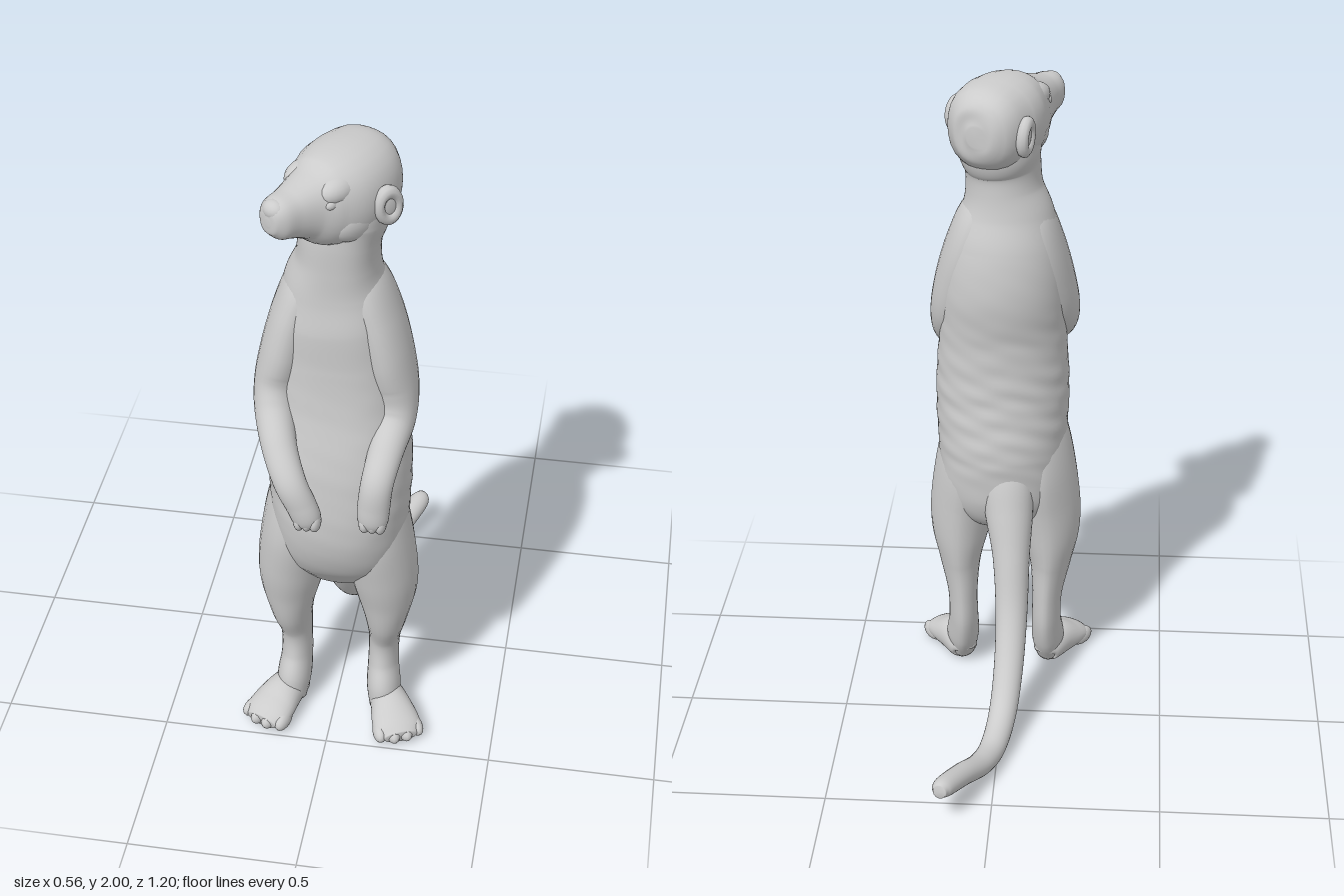
import * as THREE from 'three';

const material = new THREE.MeshStandardMaterial({ color: 0xcccccc, roughness: 0.9 });

function add(parent, name, geometry) {
  const mesh = new THREE.Mesh(geometry, material);
  mesh.name = name;
  parent.add(mesh);
  return mesh;
}

// Closed smooth skin through rings [x, y, z, half width, half depth]; bump(angle, point) scales a ring locally.
function loft(rings, { steps = 8, sides = 28, bump = () => 1 } = {}) {
  const path = new THREE.CatmullRomCurve3(rings.map(r => new THREE.Vector3(r[0], r[1], r[2])), false, 'catmullrom', 0.5);
  const size = new THREE.CatmullRomCurve3(rings.map(r => new THREE.Vector3(r[3], r[4], 0)), false, 'catmullrom', 0.5);
  const n = (rings.length - 1) * steps;
  const pos = [], index = [];
  const u = new THREE.Vector3(), v = new THREE.Vector3();
  for (let i = 0; i <= n; i++) {
    const p = path.getPoint(i / n), t = path.getTangent(i / n), s = size.getPoint(i / n);
    u.set(1, 0, 0).addScaledVector(t, -t.x).normalize();
    v.crossVectors(t, u);
    for (let j = 0; j < sides; j++) {
      const a = (j / sides) * Math.PI * 2, k = bump(a, p);
      const q = p.clone().addScaledVector(u, Math.cos(a) * s.x * k).addScaledVector(v, Math.sin(a) * s.y * k);
      pos.push(q.x, q.y, q.z);
    }
  }
  for (let i = 0; i < n; i++) for (let j = 0; j < sides; j++) {
    const a = i * sides + j, b = i * sides + (j + 1) % sides;
    index.push(a, b, a + sides, b, b + sides, a + sides);
  }
  const first = pos.length / 3, last = n * sides;
  pos.push(...path.getPoint(0).toArray(), ...path.getPoint(1).toArray());
  for (let j = 0; j < sides; j++) {
    const k = (j + 1) % sides;
    index.push(first, k, j, first + 1, last + j, last + k);
  }
  const geometry = new THREE.BufferGeometry();
  geometry.setAttribute('position', new THREE.Float32BufferAttribute(pos, 3));
  geometry.setIndex(index);
  geometry.computeVertexNormals();
  return geometry;
}

function ball(parent, name, [x, y, z], [sx, sy, sz]) {
  const mesh = add(parent, name, new THREE.SphereGeometry(1, 18, 12));
  mesh.position.set(x, y, z);
  mesh.scale.set(sx, sy, sz);
  return mesh;
}

// Irregular fur folds, strongest across the lower back, and a slightly squared chest
function furFolds(a, p) {
  const band = Math.exp(-(((p.y - 0.98) / 0.28) ** 2));
  const wave = Math.sin(p.y * 62 + 2.2 * Math.sin(a * 3) + Math.cos(a * 5)) + 0.7 * Math.sin(p.y * 97 + a * 6);
  const chest = 0.06 * Math.max(0, -Math.sin(a)) * Math.sin(2 * a) ** 2;
  return 1 + chest + 0.008 * band * (0.6 + 0.4 * Math.sin(a)) * wave;
}

function buildHead() {
  const head = new THREE.Group();
  head.name = 'head';
  // The squared section gives the flat crown and broad brow
  add(head, 'skull', loft([
    [-0.048, 1.865, -0.15, 0.03, 0.03], [-0.046, 1.865, -0.136, 0.08, 0.085], [-0.036, 1.866, -0.09, 0.115, 0.12],
    [-0.015, 1.866, -0.02, 0.135, 0.132], [-0.003, 1.866, 0.06, 0.132, 0.132], [0, 1.87, 0.13, 0.106, 0.118],
    [0, 1.878, 0.185, 0.079, 0.086], [0, 1.884, 0.24, 0.061, 0.066], [0, 1.888, 0.285, 0.05, 0.056],
    [0, 1.888, 0.308, 0.03, 0.036], [0, 1.888, 0.313, 0.008, 0.01]],
    { bump: a => 1 + 0.05 * Math.sin(2 * a) ** 2 }));
  ball(head, 'nose', [0, 1.916, 0.286], [0.035, 0.028, 0.028]);
  for (const side of [-1, 1]) {
    ball(head, 'brow', [side * 0.058, 1.925, 0.11], [0.042, 0.04, 0.07]);
    ball(head, 'eye', [side * 0.072, 1.903, 0.157], [0.018, 0.016, 0.022]);
    ball(head, 'cheek', [side * 0.07, 1.825, 0.065], [0.052, 0.066, 0.09]);
    // Small oval ear lying against the head
    const ear = new THREE.Group();
    ear.name = 'ear';
    ear.position.set(side * 0.143 - 0.006, 1.86, -0.02 + side * 0.025);
    ear.rotation.set(0.15, side * 1.3, 0);
    const rim = add(ear, 'earRim', new THREE.TorusGeometry(0.034, 0.017, 10, 24));
    rim.scale.set(0.85, 1.2, 1.1);
    ball(ear, 'earBowl', [0, 0, -0.002], [0.033, 0.046, 0.015]);
    head.add(ear);
  }
  head.position.set(0.045, 0, 0.292);
  head.rotation.y = -0.58;
  return head;
}

function buildLeg(side) {
  const leg = new THREE.Group();
  leg.name = side > 0 ? 'leftLeg' : 'rightLeg';
  const c = side > 0 ? 0.015 : 0.005; // slight sideways stance
  const at = (x, ...rest) => [c + side * x, ...rest];
  // Haunch rounded off at its outer back
  const haunch = a => 1 - 0.2 * Math.max(0, -Math.sin(a)) * Math.max(0, side * Math.cos(a));
  add(leg, 'limb', loft([
    at(0.09, 0.98, 0.32, 0.06, 0.08), at(0.10, 0.86, 0.32, 0.09, 0.13), at(0.115, 0.73, 0.315, 0.102, 0.145),
    at(0.132, 0.59, 0.312, 0.102, 0.128), at(0.14, 0.49, 0.305, 0.09, 0.113), at(0.14, 0.39, 0.298, 0.066, 0.098),
    at(0.132, 0.28, 0.28, 0.048, 0.073), at(0.13, 0.18, 0.285, 0.047, 0.073), at(0.135, 0.10, 0.312, 0.052, 0.075),
    at(0.14, 0.03, 0.335, 0.045, 0.055)], { bump: haunch }));
  // Broad foot with four soft toes, turned outward
  const foot = new THREE.Group();
  foot.name = 'foot';
  foot.position.set(c + side * 0.139, 0, 0.31);
  foot.rotation.y = side * 0.42;
  const sole = loft([
    [0, 0.04, -0.035, 0.02, 0.02], [0, 0.05, -0.02, 0.046, 0.045], [0, 0.055, 0.05, 0.06, 0.058],
    [0, 0.045, 0.11, 0.072, 0.046], [0, 0.036, 0.15, 0.072, 0.036], [0, 0.03, 0.18, 0.05, 0.022]]);
  const p = sole.attributes.position;
  for (let i = 0; i < p.count; i++) p.setY(i, Math.max(p.getY(i), 0.003));
  sole.computeVertexNormals();
  add(foot, 'sole', sole);
  for (let i = 0; i < 4; i++) {
    const toe = ball(foot, 'toe', [(i - 1.5) * 0.036, 0.031, 0.157 - Math.abs(i - 1.5) * 0.014], [0.023, 0.029, 0.046]);
    toe.rotation.y = (i - 1.5) * 0.13;
  }
  leg.add(foot);
  return leg;
}

function buildArm(name, rings) {
  const arm = new THREE.Group();
  arm.name = name;
  add(arm, 'limb', loft(rings));
  // Curled fingers at the end of the paw
  const [x, y, z] = rings[rings.length - 2];
  for (let i = 0; i < 3; i++) ball(arm, 'finger', [x + (i - 1) * 0.022, y - 0.003, z + 0.004], [0.018, 0.032, 0.029]);
  return arm;
}

export function createModel() {
  const model = new THREE.Group();
  model.name = 'standingMeerkat';

  // Body and neck in one skin, flaring again under the jaw
  add(model, 'torso', loft([
    [0.02, 0.525, 0.28, 0.03, 0.04], [0.02, 0.56, 0.285, 0.12, 0.10], [0.02, 0.65, 0.292, 0.185, 0.158],
    [0.02, 0.80, 0.318, 0.20, 0.195], [0.02, 1.00, 0.325, 0.207, 0.182], [0.018, 1.20, 0.308, 0.195, 0.16],
    [0.015, 1.35, 0.292, 0.185, 0.162], [0.01, 1.48, 0.298, 0.17, 0.154], [0.008, 1.58, 0.306, 0.144, 0.132],
    [0.015, 1.66, 0.311, 0.117, 0.124], [0.02, 1.73, 0.311, 0.114, 0.125], [0.028, 1.79, 0.3, 0.124, 0.138],
    [0.032, 1.86, 0.295, 0.118, 0.13], [0.035, 1.91, 0.295, 0.06, 0.07]],
    { steps: 14, sides: 64, bump: furFolds }));

  model.add(buildHead());
  for (const side of [-1, 1]) model.add(buildLeg(side));

  model.add(buildArm('leftArm', [
    [0.055, 1.67, 0.31, 0.03, 0.06], [0.085, 1.58, 0.308, 0.064, 0.105], [0.122, 1.48, 0.31, 0.07, 0.12],
    [0.152, 1.37, 0.322, 0.072, 0.115], [0.175, 1.26, 0.336, 0.068, 0.095], [0.182, 1.18, 0.378, 0.06, 0.068],
    [0.17, 1.12, 0.455, 0.05, 0.047], [0.155, 1.05, 0.515, 0.046, 0.04], [0.147, 0.97, 0.527, 0.046, 0.037],
    [0.145, 0.92, 0.527, 0.042, 0.034], [0.145, 0.89, 0.525, 0.018, 0.016]]));
  model.add(buildArm('rightArm', [
    [-0.035, 1.67, 0.31, 0.03, 0.06], [-0.065, 1.58, 0.308, 0.064, 0.105], [-0.098, 1.48, 0.312, 0.07, 0.12],
    [-0.125, 1.37, 0.33, 0.072, 0.115], [-0.148, 1.27, 0.356, 0.066, 0.095], [-0.15, 1.20, 0.408, 0.058, 0.068],
    [-0.125, 1.13, 0.49, 0.05, 0.047], [-0.085, 1.05, 0.55, 0.046, 0.04], [-0.052, 0.98, 0.56, 0.044, 0.037],
    [-0.035, 0.93, 0.558, 0.04, 0.034], [-0.028, 0.902, 0.555, 0.018, 0.016]]));

  // Tail sweeps down to the ground behind and curls up toward the tip
  add(model, 'tail', loft([
    [0.01, 0.86, 0.255, 0.05, 0.05], [0.0, 0.75, 0.205, 0.082, 0.072], [-0.01, 0.63, 0.163, 0.075, 0.07],
    [-0.02, 0.50, 0.112, 0.058, 0.058], [-0.025, 0.34, 0.05, 0.05, 0.048], [-0.022, 0.20, -0.035, 0.046, 0.044],
    [-0.01, 0.09, -0.14, 0.043, 0.041], [0.012, 0.045, -0.26, 0.04, 0.037], [0.043, 0.05, -0.36, 0.038, 0.035],
    [0.09, 0.082, -0.46, 0.036, 0.034], [0.136, 0.108, -0.56, 0.033, 0.031], [0.147, 0.112, -0.595, 0.02, 0.02]]));

  return model;
}
